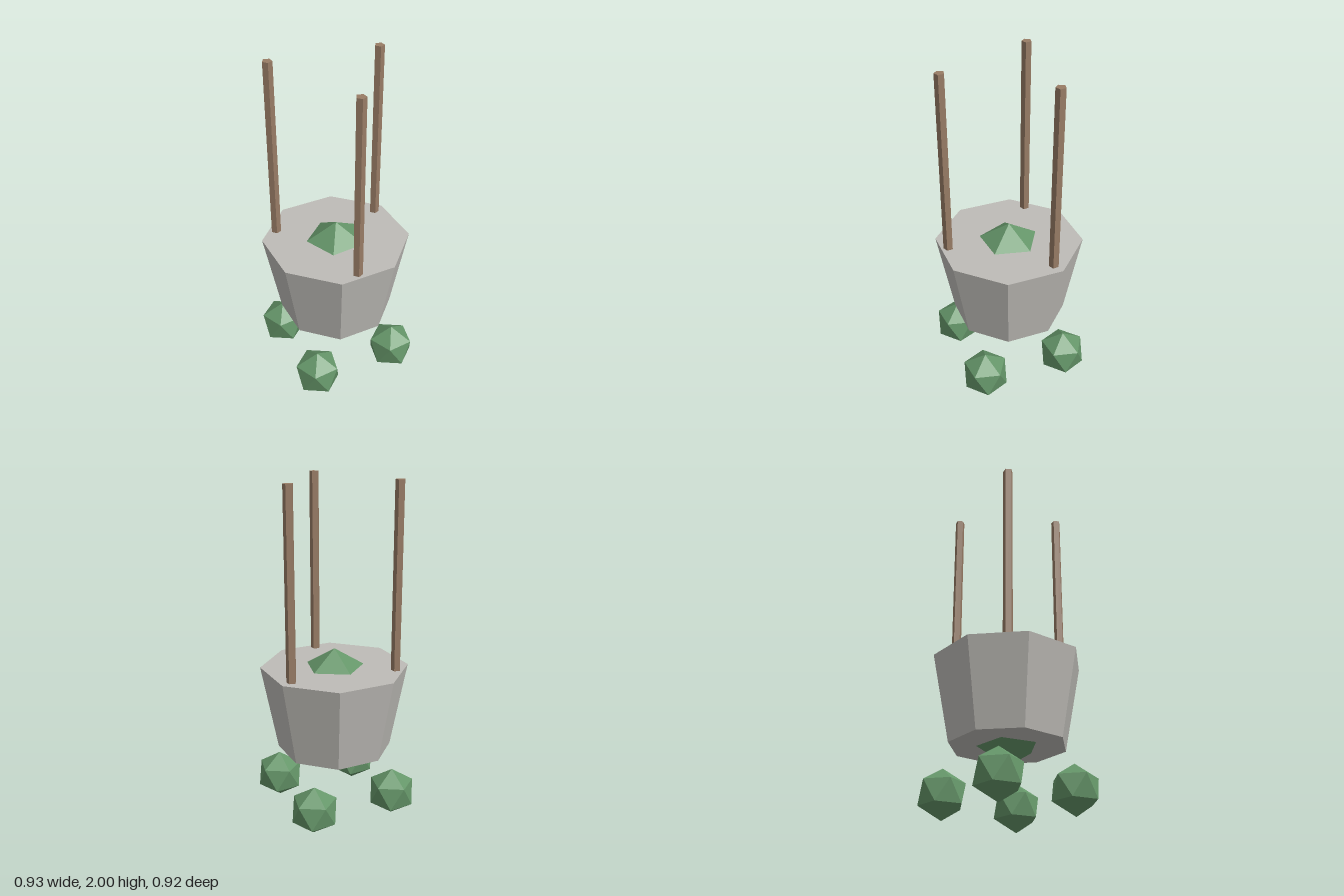
import * as THREE from 'three';

const U = 2 / 5.5; // base unit of the proportions

function makeMaterial(name, color) {
  const m = new THREE.MeshStandardMaterial({ color, flatShading: true });
  m.name = name;
  return m;
}

// Icosahedron standing on a corner, with an upper ring corner toward +x
function standingIcosahedron(radius) {
  const g = new THREE.IcosahedronGeometry(radius, 0);
  g.rotateZ(-Math.atan(2 / (1 + Math.sqrt(5))));
  return g;
}

export function createModel() {
  const model = new THREE.Group();
  model.name = 'hangingPlanter';
  const stone = makeMaterial('stone grey', 0xbebcb7);
  const leaf = makeMaterial('leaf green', 0x659669);
  const rope = makeMaterial('rope brown', 0x987c65);

  const add = (name, geometry, material, x, y, z) => {
    const mesh = new THREE.Mesh(geometry, material);
    mesh.name = name;
    mesh.position.set(x, y, z);
    model.add(mesh);
  };

  // Tapered eight-sided pot
  const potBottom = 1.1 * U, potTop = 2.5 * U;
  add('pot', new THREE.CylinderGeometry(1.2 * U, 0.93 * U, potTop - potBottom, 8),
    stone, 0, (potBottom + potTop) / 2, 0);

  // Plant mass showing above and below the pot
  add('plant', standingIcosahedron(U), leaf, 0, 1.8 * U, 0);

  // Three five-sided ropes rising from the rim
  const ropeBottom = potTop - 0.01;
  const ropeGeometry = new THREE.CylinderGeometry(0.08 * U, 0.08 * U, 2 - ropeBottom, 5);
  ropeGeometry.rotateY(Math.PI);
  for (let i = 0; i < 3; i++) {
    const a = (i * Math.PI * 2) / 3;
    add('rope' + (i + 1), ropeGeometry, rope,
      U * Math.cos(a), (2 + ropeBottom) / 2, U * Math.sin(a));
  }

  // Four trailing leaf clusters below the pot
  const clusterGeometry = standingIcosahedron(0.4 * U);
  for (let i = 0; i < 4; i++) {
    const a = -Math.PI / 8 + (i * Math.PI) / 2;
    add('leafCluster' + (i + 1), clusterGeometry, leaf,
      U * Math.cos(a), 0.4 * U, U * Math.sin(a));
  }

  return model;
}
